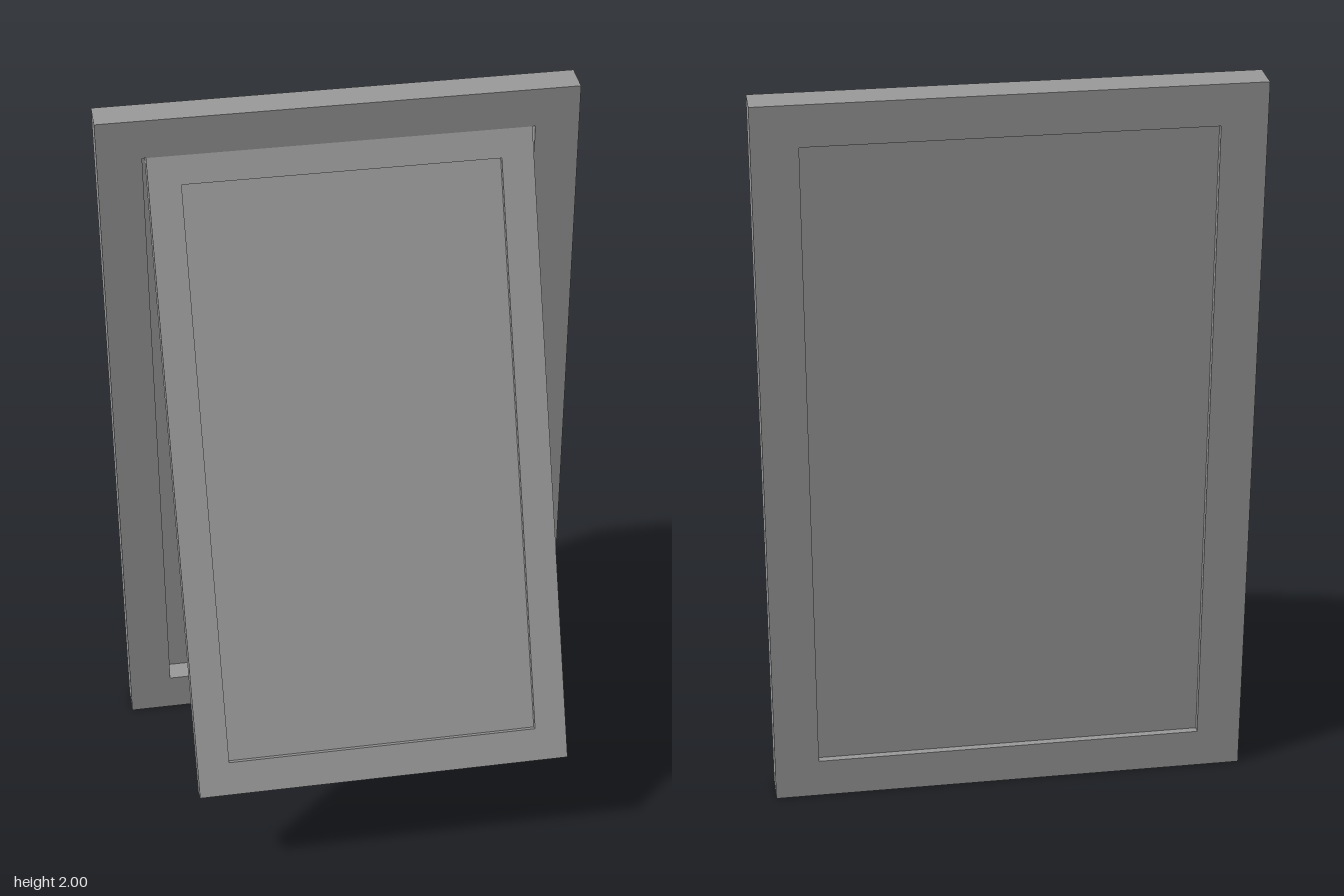
import * as THREE from 'three';

const paint = new THREE.MeshStandardMaterial({ color: 0x9b9b9b });

function rectangle(path, x, y0, y1) {
  path.moveTo(-x, y0);
  path.lineTo(x, y0);
  path.lineTo(x, y1);
  path.lineTo(-x, y1);
  path.closePath();
  return path;
}

// Rectangular surround with an opening, plus a thin panel set into it.
// outer and inner are [half width, bottom, top]; panel is [back z, front z].
function panelledFrame(name, outer, inner, back, front, panel) {
  const group = new THREE.Group();
  group.name = name;

  const shape = rectangle(new THREE.Shape(), ...outer);
  shape.holes.push(rectangle(new THREE.Path(), ...inner));
  const surround = new THREE.Mesh(
    new THREE.ExtrudeGeometry(shape, { depth: front - back, bevelEnabled: false }), paint);
  surround.name = name + 'Surround';
  surround.position.z = back;

  const [x, y0, y1] = inner;
  const pane = new THREE.Mesh(new THREE.BoxGeometry(2 * x, y1 - y0, panel[1] - panel[0]), paint);
  pane.name = name + 'Panel';
  pane.position.set(0, (y0 + y1) / 2, (panel[0] + panel[1]) / 2);

  group.add(surround, pane);
  return group;
}

export function createModel() {
  const model = new THREE.Group();
  model.name = 'topHungWindow';

  // Upright fixed frame, its panel set close to the back
  const fixedFrame = panelledFrame('fixedFrame',
    [0.642, 0, 2], [0.523, 0.11, 1.89], -0.415, -0.325, [-0.397, -0.388]);

  // Sash hinged along its top front edge and swung out at the bottom
  const sash = panelledFrame('sash',
    [0.514, -1.75, 0], [0.427, -1.658, -0.077], -0.06, 0, [-0.04, -0.018]);
  sash.position.set(0.001, 1.89, -0.325);
  sash.rotation.x = THREE.MathUtils.degToRad(-25);

  model.add(fixedFrame, sash);
  return model;
}
